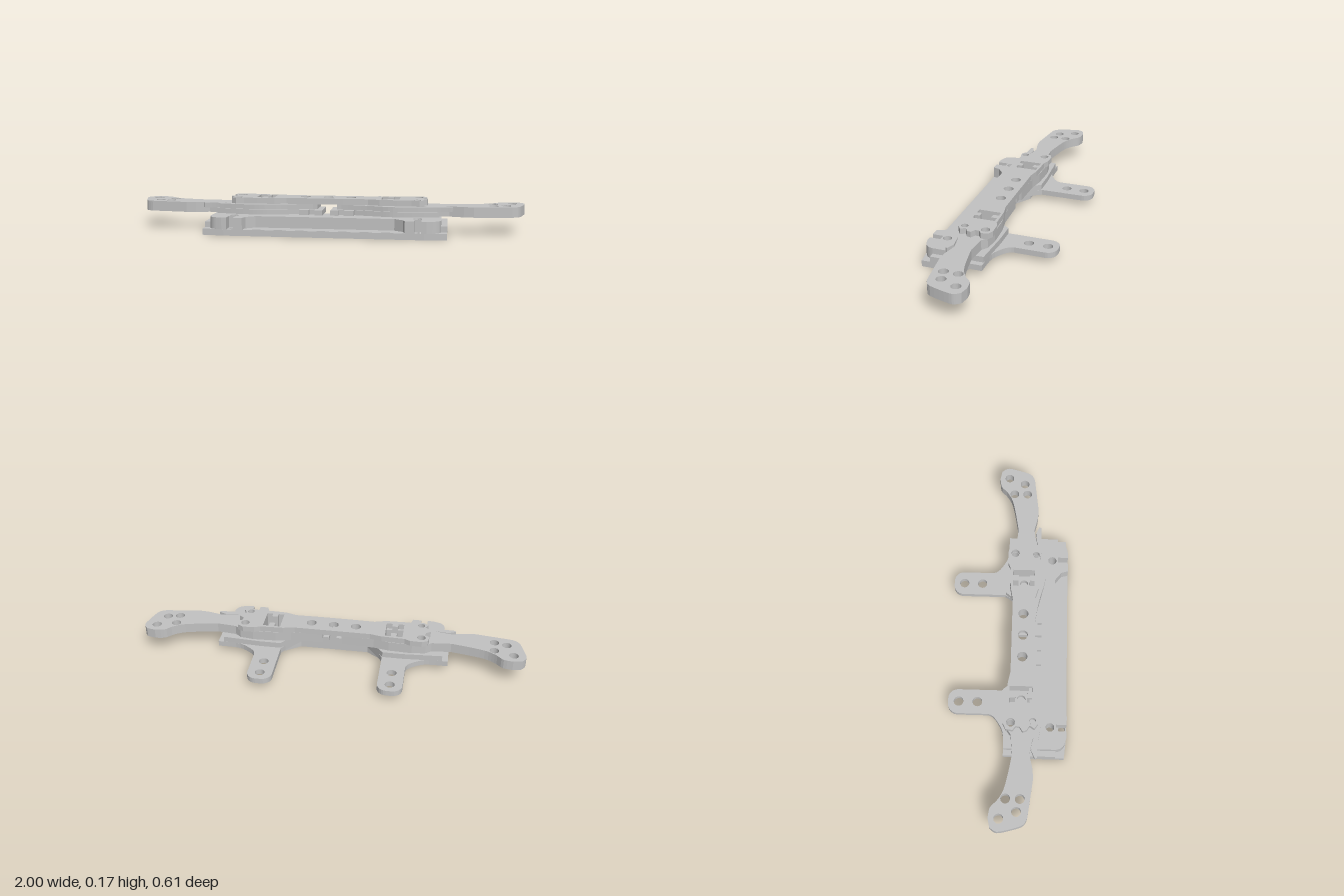
import * as THREE from 'three';

const material = new THREE.MeshStandardMaterial({ color: 0xc2c2c2 });
material.name = 'grey plastic';

const flip = (pts) => pts.map(([x, z]) => [-x, z]).reverse();
// Closes a right-half outline (back centre to front centre) by mirroring it.
const both = (half) => [...half, ...flip(half)];
const bothHoles = (holes) => holes.flatMap(([x, z, r]) => (x === 0 ? [[x, z, r]] : [[x, z, r], [-x, z, r]]));

// Flat plate from a clockwise (x, z) outline, with round holes [x, z, r] and counter-clockwise cut-outs.
function plate(name, outline, y0, y1, holes = [], cuts = []) {
  const toShape = (pts) => pts.map(([x, z]) => new THREE.Vector2(x, -z));
  const shape = new THREE.Shape(toShape(outline));
  for (const [x, z, r] of holes) {
    const path = new THREE.Path();
    path.absarc(x, -z, r, 0, Math.PI * 2, false);
    shape.holes.push(path);
  }
  for (const cut of cuts) shape.holes.push(new THREE.Path(toShape(cut)));
  const geometry = new THREE.ExtrudeGeometry(shape, { depth: y1 - y0, bevelEnabled: false, curveSegments: 12 });
  geometry.rotateX(-Math.PI / 2);
  geometry.translate(0, y0, 0);
  const mesh = new THREE.Mesh(geometry, material);
  mesh.name = name;
  return mesh;
}

// Points along an arc, for rounded outlines.
function arc(cx, cz, r, a0, a1, n = 8) {
  return Array.from({ length: n + 1 }, (_, i) => {
    const a = a0 + ((a1 - a0) * i) / n;
    return [cx + r * Math.cos(a), cz + r * Math.sin(a)];
  });
}

// Smooth curve through a few outline points.
function smooth(pts, n = 24) {
  const curve = new THREE.SplineCurve(pts.map(([x, z]) => new THREE.Vector2(x, z)));
  return curve.getPoints(n).map((p) => [p.x, p.y]);
}

export function createModel() {
  const model = new THREE.Group();
  model.name = 'chassis bumper assembly';
  const add = (...args) => model.add(plate(...args));

  const sideHoles = [[0.465, 0.02, 0.022], [0.465, 0.14, 0.022], [0.465, 0.22, 0.022]];
  const frontHole = [0.46, 0.282, 0.018];

  // Bottom slab
  add('baseSlab', both([
    [0.18, 0.09], [0.26, 0.035], [0.4, 0.035], [0.61, 0.08], [0.61, 0.295], [0.5, 0.306],
  ]), 0, 0.032, bothHoles([...sideHoles.slice(1), frontHole,
    [0.1, 0.15, 0.02], [0.3, 0.15, 0.02], [0.12, 0.255, 0.02], [0.3, 0.255, 0.02]]));
  add('pocketFloor', [[-0.4, 0.22], [0.4, 0.22], [0.4, 0.3], [-0.4, 0.3]], 0.022, 0.033);

  // Front recess and rounded corner shared by the two middle layers
  const frontRecess = [[0.485, 0.305], [0.485, 0.25], [0.45, 0.25], [0.45, 0.305],
    [0.405, 0.305], [0.395, 0.27], [0.35, 0.235]];
  const frontCorner = smooth([[0.58, 0.25], [0.572, 0.275], [0.55, 0.295], [0.51, 0.305]], 8);

  // Middle plate with the two rear mounting tabs
  add('mountingPlate', both([
    [0.18, 0.09], [0.25, 0.0], [0.268, -0.03],
    ...arc(0.318, -0.256, 0.05, Math.PI, Math.PI * 1.5, 6),
    ...arc(0.346, -0.256, 0.05, -Math.PI / 2, 0, 6),
    ...smooth([[0.396, -0.1], [0.405, -0.075], [0.44, -0.045], [0.5, -0.018], [0.61, -0.015]], 14),
    [0.61, 0.25], ...frontCorner, ...frontRecess,
  ]), 0.032, 0.061, bothHoles([...sideHoles, [0.332, -0.252, 0.025], [0.332, -0.155, 0.025]]));

  // Upper half of the body block
  add('bodyBlock', both([
    [0.18, 0.09], [0.25, 0.0], [0.27, -0.025], [0.38, -0.025], [0.5, -0.018], [0.58, -0.013],
    ...frontCorner, ...frontRecess,
  ]), 0.061, 0.091, bothHoles([...sideHoles, [0.322, 0.07, 0.022]]));

  // H-shaped pocket outline
  const pocket = (cx) => [
    [-0.046, 0.01], [-0.015, 0.01], [-0.015, 0.04], [0.015, 0.04], [0.015, 0.01], [0.046, 0.01],
    [0.046, 0.125], [0.015, 0.125], [0.015, 0.1], [-0.015, 0.1], [-0.015, 0.125], [-0.046, 0.125],
  ].map(([x, z]) => [x + cx, z]).reverse();

  // Swept side arms, split by the centre slot
  const arm = [
    [0.05, 0.015], [0.22, 0.01], [0.3, -0.005], [0.42, -0.01], [0.49, 0.0], [0.52, 0.022],
    ...smooth([[0.62, 0.032], [0.72, 0.014], [0.8, -0.006], [0.85, -0.035], [0.885, -0.068], [0.935, -0.077]], 16),
    ...smooth([[0.98, -0.068], [0.997, -0.045], [1, -0.02], [0.985, 0.04], [0.965, 0.095], [0.93, 0.115]], 12),
    [0.74, 0.139], [0.69, 0.135], [0.62, 0.118], [0.55, 0.13], [0.49, 0.148], [0.35, 0.148], [0.22, 0.13], [0.05, 0.13],
  ];
  const armHoles = [[0.938, -0.025, 0.024], [0.84, 0.005, 0.024], [0.903, 0.06, 0.024], [0.84, 0.076, 0.024],
    [0.118, 0.07, 0.026], ...sideHoles.slice(0, 2).map(([x, z]) => [x, z, 0.02])];
  const tab = [[0.02, 0.03], [0.06, 0.03], [0.06, 0.12], [0.14, 0.12], [0.14, 0.168], [0.09, 0.168],
    [0.09, 0.145], [0.06, 0.145], [0.06, 0.168], [0.02, 0.168]];
  // Thin bowed strips along the front
  const strip = [
    [0.06, 0.12], [0.22, 0.128], [0.35, 0.146], [0.48, 0.146], [0.52, 0.138], [0.6, 0.128], [0.64, 0.145],
    ...smooth([[0.635, 0.155], [0.56, 0.158], [0.45, 0.176], [0.33, 0.182], [0.2, 0.15], [0.06, 0.128]]),
  ];
  const lowerStrip = [
    [0.22, 0.125], [0.35, 0.145], [0.48, 0.145], [0.57, 0.13],
    ...smooth([[0.57, 0.15], [0.45, 0.172], [0.34, 0.179], [0.24, 0.16], [0.14, 0.135]]),
  ];
  for (const [side, mirror, s] of [['left', (p) => p, 1], ['right', flip, -1]]) {
    add(side + 'Arm', mirror(arm), 0.091, 0.143, armHoles.map(([x, z, r]) => [s * x, z, r]), [pocket(s * 0.322)]);
    add(side + 'CentreTab', mirror(tab), 0.091, 0.117);
    add(side + 'FrontStrip', mirror(strip), 0.119, 0.1425);
    add(side + 'LowerStrip', mirror(lowerStrip), 0.091, 0.117);
  }

  // Top cover plate with scalloped ends
  add('topCover', both([
    [0, 0.012], [0.2, 0.012], [0.26, 0], [0.38, -0.005], [0.41, -0.018], [0.47, -0.02],
    [0.5, -0.005], [0.505, 0.03], [0.485, 0.045], [0.485, 0.065], [0.51, 0.08], [0.505, 0.1],
    [0.48, 0.115], [0.495, 0.14], [0.47, 0.157], [0.43, 0.15], [0.36, 0.15], [0.27, 0.147],
    [0.21, 0.13], [0.08, 0.132], [0, 0.132],
  ]), 0.143, 0.173,
  bothHoles([[0, 0.07, 0.026], [0.118, 0.07, 0.026], [0.465, 0.02, 0.022], [0.458, 0.13, 0.018]]),
  [pocket(0.322), pocket(-0.322)]);

  return model;
}
